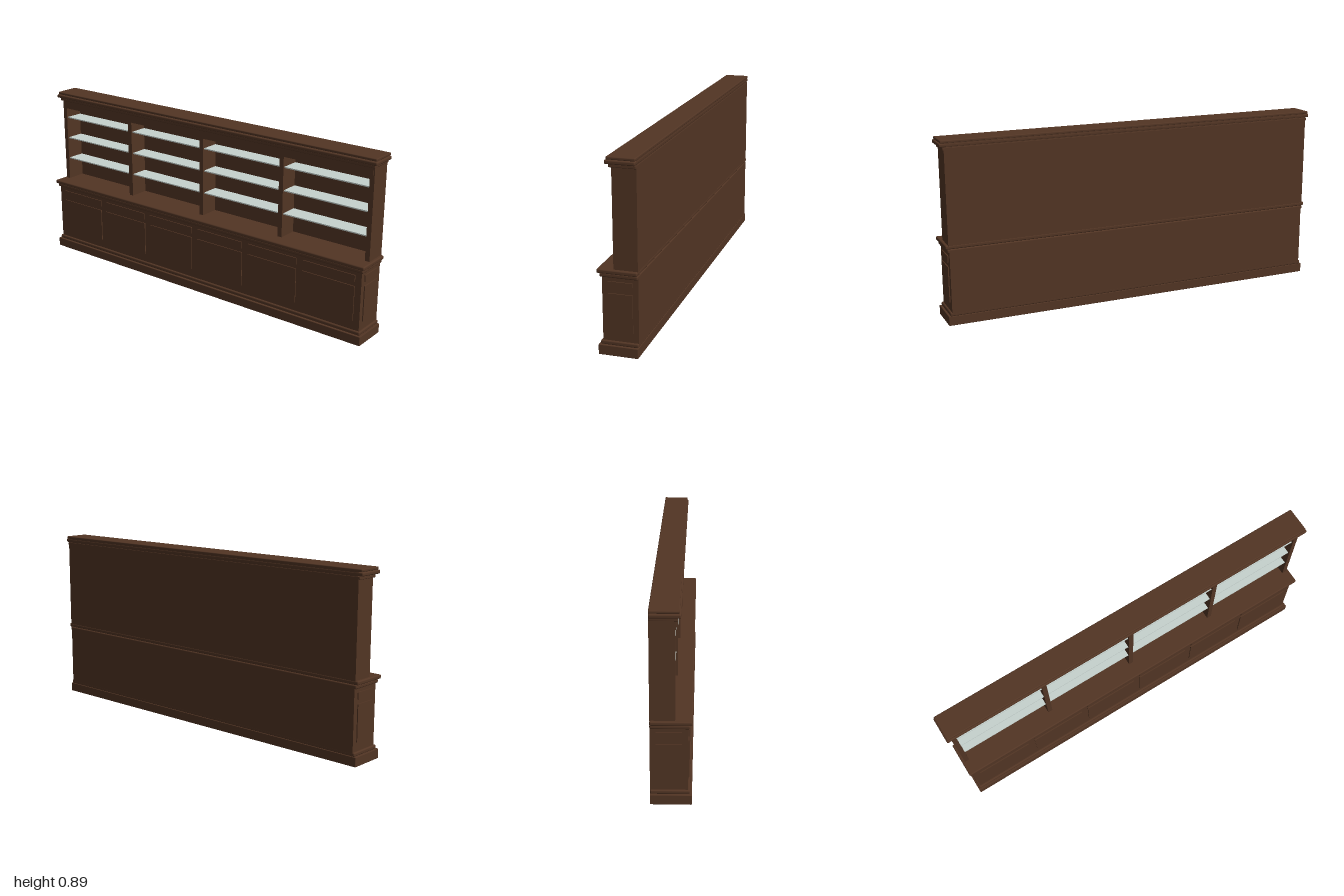
import * as THREE from 'three';
import { RoundedBoxGeometry } from 'three/addons/geometries/RoundedBoxGeometry.js';

const BACK = -0.092;

export function createModel() {
  const model = new THREE.Group();
  model.name = 'shelvedSideboard';
  const wood = new THREE.MeshStandardMaterial({ name: 'dark wood', color: 0x523524 });
  const glass = new THREE.MeshStandardMaterial({ name: 'pale glass', color: 0xc6d2ce });

  // Box given by its extents; a radius rounds its edges
  function box(name, [x0, x1], [y0, y1], [z0, z1], material = wood, radius = 0) {
    const size = [x1 - x0, y1 - y0, z1 - z0];
    const geometry = radius
      ? new RoundedBoxGeometry(...size, 3, radius)
      : new THREE.BoxGeometry(...size);
    const mesh = new THREE.Mesh(geometry, material);
    mesh.name = name;
    mesh.position.set((x0 + x1) / 2, (y0 + y1) / 2, (z0 + z1) / 2);
    model.add(mesh);
  }

  // Full-width mouldings, flush at the back: half width, bottom, top, front, radius
  const mouldings = [
    ['plinth', 0.992, 0, 0.046, 0.09, 0.002],
    ['plinthMoulding', 0.984, 0.046, 0.065, 0.082, 0.006],
    ['counterMoulding', 0.984, 0.359, 0.378, 0.082, 0.006],
    ['counter', 0.993, 0.378, 0.397, 0.092, 0.006],
    ['corniceLower', 0.985, 0.847, 0.862, 0.03, 0.003],
    ['corniceMiddle', 1.0, 0.863, 0.881, 0.043, 0.006],
    ['corniceTop', 0.995, 0.882, 0.895, 0.037, 0.004],
  ];
  for (const [name, w, y0, y1, front, r] of mouldings)
    box(name, [-w, w], [y0, y1], [BACK, front], wood, r);
  // Backing that closes the narrow gaps between cornice layers
  box('corniceCore', [-0.975, 0.975], [0.845, 0.89], [BACK + 0.001, 0.022]);

  // Lower cabinet with raised drawer and door panels
  box('cabinetBody', [-0.975, 0.975], [0.06, 0.365], [BACK, 0.073]);
  const rows = [['door', 0.108, 0.286], ['drawer', 0.307, 0.341]];
  for (const [name, y0, y1] of rows) {
    for (let i = 0; i < 6; i++) {
      const x = (i - 2.5) * 0.32;
      box(name + 'Panel', [x - 0.142, x + 0.142], [y0, y1], [0.07, 0.078]);
    }
    for (const s of [-1, 1])
      box(name + 'SidePanel', [s * 0.976 - 0.004, s * 0.976 + 0.004], [y0, y1], [-0.066, 0.047]);
  }

  // Upper shelving case
  box('backPanel', [-0.97, 0.97], [0.395, 0.85], [BACK, -0.082]);
  box('fascia', [-0.974, 0.974], [0.805, 0.85], [0.004, 0.021]);
  box('caseTop', [-0.97, 0.97], [0.835, 0.85], [-0.085, 0.01]);
  for (const s of [-1, 1])
    box('sideUpright', [s * 0.967 - 0.012, s * 0.967 + 0.012], [0.395, 0.85], [BACK, 0.018]);
  for (const x of [-0.484, 0, 0.484])
    box('divider', [x - 0.012, x + 0.012], [0.395, 0.84], [-0.084, 0.018]);

  // Three glass shelves in each of the four bays
  for (let bay = 0; bay < 4; bay++) {
    const x = (bay - 1.5) * 0.482;
    for (const y of [0.515, 0.633, 0.75])
      box('shelf', [x - 0.232, x + 0.232], [y - 0.003, y + 0.003], [-0.083, 0.01], glass);
  }
  return model;
}
